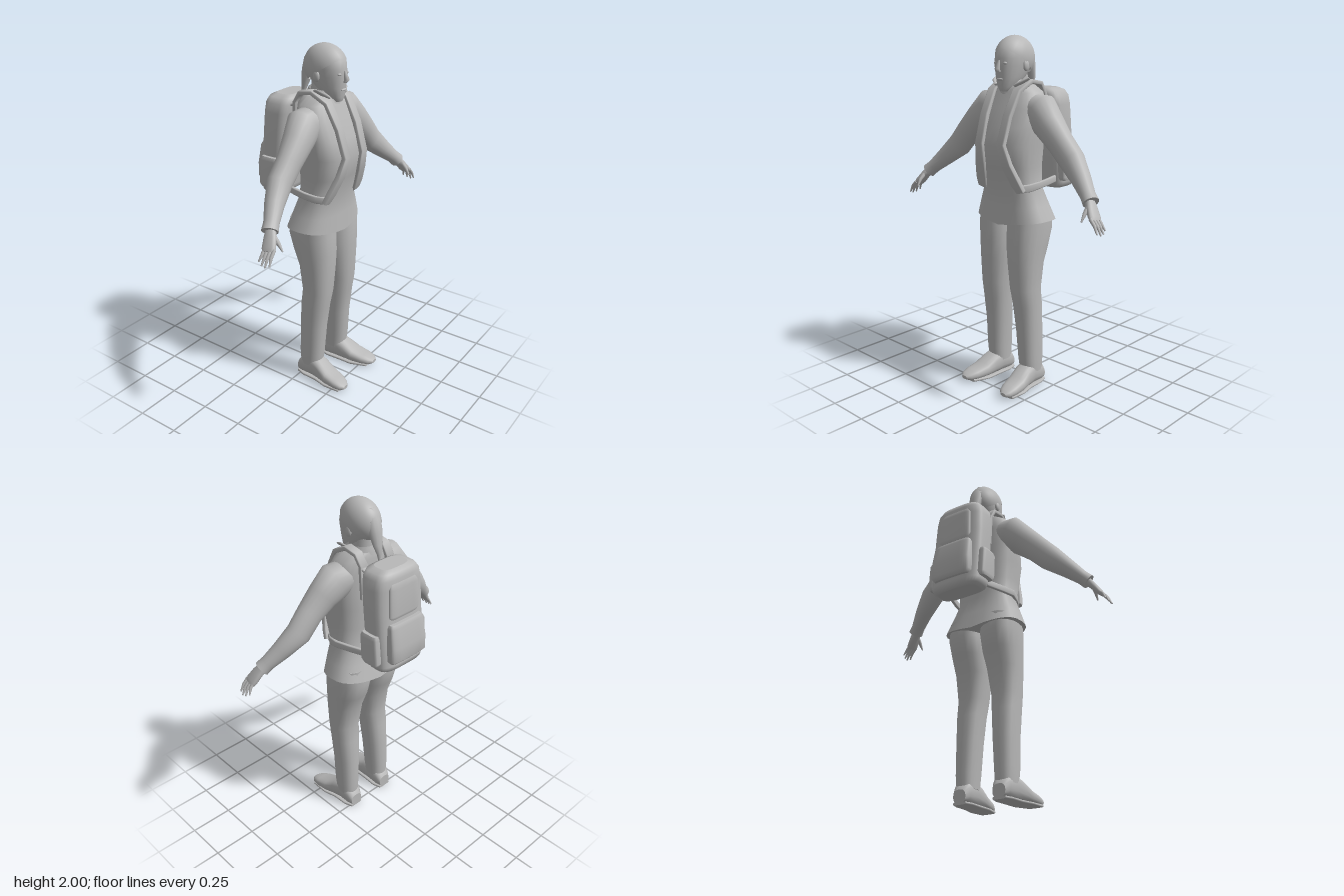
import * as THREE from 'three';

const clay = new THREE.MeshStandardMaterial({ color: 0xb8b8b8, side: THREE.DoubleSide });
clay.name = 'plain grey';

const X = new THREE.Vector3(1, 0, 0), Y = new THREE.Vector3(0, 1, 0), Z = new THREE.Vector3(0, 0, 1);

// Skin over superellipse sections [x, y, z, halfU, halfV]; halfV lies along ref,
// s mirrors in x, dir fixes the section normal, n is the squareness.
function loft(name, sections, { ref = Z, dir = null, n = 2, s = 1, sides = 20, caps = true } = {}) {
  const centres = sections.map(p => new THREE.Vector3(p[0] * s, p[1], p[2]));
  const pos = [], idx = [], last = sections.length - 1;
  const power = c => Math.sign(c) * Math.abs(c) ** (2 / n);
  const rings = sections.map((p, i) => {
    const t = dir ? dir.clone() : centres[Math.min(i + 1, last)].clone().sub(centres[Math.max(i - 1, 0)]).normalize();
    const v = ref.clone().addScaledVector(t, -ref.dot(t)).normalize();
    const u = new THREE.Vector3().crossVectors(v, t);
    return Array.from({ length: sides }, (_, j) => {
      const a = (j / sides) * Math.PI * 2;
      return centres[i].clone().addScaledVector(u, power(Math.cos(a)) * p[3]).addScaledVector(v, power(Math.sin(a)) * p[4]);
    });
  });
  rings.forEach(r => r.forEach(p => pos.push(p.x, p.y, p.z)));
  for (let i = 0; i < last; i++) for (let j = 0; j < sides; j++) {
    const k = (j + 1) % sides, a = i * sides, b = a + sides;
    idx.push(a + j, a + k, b + k, a + j, b + k, b + j);
  }
  if (caps) for (const end of [0, last]) {
    const base = pos.length / 3;
    [centres[end], ...rings[end]].forEach(p => pos.push(p.x, p.y, p.z));
    for (let j = 0; j < sides; j++) {
      const a = base + 1 + j, b = base + 1 + (j + 1) % sides;
      idx.push(base, ...(end ? [a, b] : [b, a]));
    }
  }
  const g = new THREE.BufferGeometry();
  g.setAttribute('position', new THREE.Float32BufferAttribute(pos, 3));
  g.setIndex(idx);
  g.computeVertexNormals();
  const mesh = new THREE.Mesh(g, clay);
  mesh.name = name;
  return mesh;
}

// Upright skin from rows [y, halfWidth, backZ, frontZ]
const stack = (name, rows, opt = {}) =>
  loft(name, rows.map(([y, w, b, f]) => [0, y, (b + f) / 2, w, (f - b) / 2]), { dir: Y, ...opt });

function ball(name, [x, y, z], [a, b, c]) {
  const mesh = new THREE.Mesh(new THREE.SphereGeometry(1, 14, 10), clay);
  mesh.position.set(x, y, z);
  mesh.scale.set(a, b, c);
  mesh.name = name;
  return mesh;
}

export function createModel() {
  const model = new THREE.Group();
  model.name = 'hiker';

  // Jacket with a flared, slightly dipped hem
  const jacket = stack('jacket', [
    [0.99, 0.245, -0.1, 0.2], [1.08, 0.215, -0.07, 0.195], [1.18, 0.175, -0.04, 0.19],
    [1.3, 0.18, -0.04, 0.225], [1.42, 0.19, -0.05, 0.25], [1.52, 0.2, -0.05, 0.222],
    [1.62, 0.2, -0.05, 0.18], [1.7, 0.165, -0.05, 0.145], [1.735, 0.1, -0.04, 0.13],
  ], { n: 2.6, sides: 28 });
  const jp = jacket.geometry.attributes.position;
  for (let i = 0; i < jp.count; i++) if (jp.getY(i) < 1) jp.setY(i, 0.97 + Math.abs(jp.getX(i)) * 0.13);
  jacket.geometry.computeVertexNormals();
  model.add(jacket);
  model.add(stack('collar', [[1.69, 0.11, -0.05, 0.15], [1.735, 0.085, -0.045, 0.145], [1.765, 0.075, -0.035, 0.12]], { caps: false }));

  // Head
  const head = new THREE.Group();
  head.name = 'head';
  model.add(head);
  head.add(stack('neck', [[1.68, 0.06, -0.02, 0.1], [1.8, 0.055, -0.02, 0.1]]));
  head.add(stack('face', [
    [1.705, 0.026, 0.11, 0.165], [1.73, 0.048, 0.06, 0.175], [1.78, 0.068, 0, 0.18],
    [1.84, 0.08, -0.04, 0.186], [1.88, 0.084, -0.05, 0.182], [1.92, 0.082, -0.045, 0.177],
    [1.96, 0.066, -0.02, 0.145], [1.985, 0.04, 0.02, 0.1],
  ], { n: 2.2 }));
  const cap = new THREE.SphereGeometry(1, 24, 14, 0, Math.PI * 2, 0, Math.PI * 0.55);
  cap.rotateX(-0.6).scale(0.093, 0.12, 0.127).translate(0, 1.88, 0.06);
  const hair = new THREE.Mesh(cap, clay);
  hair.name = 'hair';
  head.add(hair);
  head.add(loft('ponytail', [
    [0, 1.95, 0, 0.035, 0.03], [0, 1.9, -0.035, 0.035, 0.045], [0, 1.84, -0.055, 0.03, 0.04],
    [0, 1.78, -0.07, 0.02, 0.03], [0, 1.73, -0.083, 0.012, 0.015], [0, 1.69, -0.08, 0.003, 0.003],
  ], { ref: X, sides: 12 }));
  head.add(loft('nose', [[0, 1.87, 0.18, 0.008, 0.008], [0, 1.825, 0.196, 0.014, 0.015], [0, 1.808, 0.185, 0.012, 0.01]], { dir: Y.clone().negate(), sides: 8 }));
  head.add(ball('mouth', [0, 1.77, 0.178], [0.024, 0.007, 0.008]));

  // Paired parts
  for (const s of [1, -1]) {
    const side = s > 0 ? 'left' : 'right';
    head.add(ball(side + 'Eye', [s * 0.033, 1.855, 0.171], [0.014, 0.008, 0.01]));
    head.add(ball(side + 'Ear', [s * 0.084, 1.84, 0.06], [0.012, 0.03, 0.02]));

    model.add(loft(side + 'CollarWing', [
      [0.06, 1.73, 0.1, 0.008, 0.05], [0.09, 1.75, 0.09, 0.008, 0.045], [0.115, 1.775, 0.07, 0.004, 0.015],
    ], { s, n: 3, sides: 8 }));

    // Sleeve and cuff
    model.add(loft(side + 'Sleeve', [
      [0.1, 1.615, 0.05, 0.08, 0.08], [0.19, 1.595, 0.055, 0.108, 0.092], [0.265, 1.53, 0.07, 0.088, 0.08],
      [0.35, 1.45, 0.08, 0.076, 0.066], [0.43, 1.365, 0.08, 0.073, 0.064], [0.52, 1.285, 0.115, 0.054, 0.052],
      [0.59, 1.22, 0.15, 0.04, 0.042], [0.622, 1.19, 0.165, 0.042, 0.045],
    ], { s }));

    // Hand
    const hand = new THREE.Group();
    hand.name = side + 'Hand';
    hand.add(loft('palm', [
      [0.61, 1.2, 0.163, 0.024, 0.026], [0.64, 1.165, 0.18, 0.02, 0.035],
      [0.67, 1.125, 0.195, 0.017, 0.04], [0.682, 1.11, 0.2, 0.012, 0.036],
    ], { s, n: 2.5, sides: 12 }));
    for (let i = 0; i < 4; i++) {
      const z = 0.172 + i * 0.019, reach = [0.8, 0.95, 1, 0.88][i];
      hand.add(loft('finger', [
        [0.67, 1.125, z, 0.01, 0.01], [0.67 + 0.034 * reach, 1.125 - 0.035 * reach, z + 0.003, 0.009, 0.009],
        [0.67 + 0.057 * reach, 1.125 - 0.08 * reach, z + (i - 1.5) * 0.005, 0.004, 0.004],
      ], { s, sides: 8 }));
    }
    hand.add(loft('thumb', [
      [0.63, 1.18, 0.19, 0.014, 0.014], [0.632, 1.145, 0.225, 0.011, 0.011], [0.63, 1.105, 0.25, 0.004, 0.004],
    ], { s, ref: X, sides: 8 }));
    model.add(hand);

    // Trouser leg and shoe
    model.add(loft(side + 'Leg', [
      [0.125, 0.09, 0.06, 0.058, 0.066], [0.125, 0.17, 0.064, 0.063, 0.074], [0.12, 0.35, 0.07, 0.07, 0.078],
      [0.117, 0.5, 0.082, 0.078, 0.083], [0.112, 0.6, 0.095, 0.084, 0.086], [0.107, 0.75, 0.088, 0.098, 0.1],
      [0.105, 0.85, 0.07, 0.107, 0.122], [0.108, 0.95, 0.055, 0.112, 0.135], [0.108, 1.05, 0.055, 0.11, 0.125],
    ], { s, dir: Y, n: 2.3 }));
    model.add(loft(side + 'Shoe', [
      [0.125, 0.045, -0.02, 0.04, 0.037], [0.125, 0.068, 0.01, 0.056, 0.06], [0.127, 0.08, 0.08, 0.056, 0.072],
      [0.133, 0.068, 0.14, 0.06, 0.06], [0.142, 0.048, 0.2, 0.063, 0.04], [0.152, 0.038, 0.27, 0.056, 0.03],
      [0.158, 0.032, 0.31, 0.042, 0.022], [0.16, 0.03, 0.33, 0.02, 0.01],
    ], { s, ref: Y, dir: Z, n: 2.5 }));
    model.add(loft(side + 'Sole', [
      [0.125, 0.008, -0.02, 0.04, 0.008], [0.126, 0.008, 0.03, 0.056, 0.008], [0.13, 0.008, 0.12, 0.055, 0.008],
      [0.14, 0.008, 0.2, 0.064, 0.008], [0.155, 0.012, 0.3, 0.048, 0.008],
    ], { s, ref: Y, dir: Z, n: 5 }));

    // Shoulder strap, then the lower strap running back to the pack
    model.add(loft(side + 'ShoulderStrap', [
      [0.09, 1.5, -0.065, 0.01, 0.026], [0.095, 1.69, -0.06, 0.011, 0.028], [0.098, 1.745, -0.025, 0.012, 0.028],
      [0.098, 1.758, 0.05, 0.013, 0.028], [0.092, 1.71, 0.14, 0.013, 0.028], [0.086, 1.58, 0.207, 0.014, 0.027],
      [0.08, 1.43, 0.253, 0.015, 0.028], [0.1, 1.32, 0.228, 0.016, 0.034], [0.13, 1.22, 0.19, 0.016, 0.036],
      [0.146, 1.17, 0.168, 0.014, 0.03],
    ], { s, ref: X, n: 5, sides: 16 }));
    model.add(loft(side + 'LowerStrap', [
      [0.145, 1.185, 0.165, 0.01, 0.022], [0.172, 1.19, 0.12, 0.01, 0.022], [0.185, 1.2, 0.06, 0.01, 0.02],
      [0.165, 1.2, -0.02, 0.01, 0.02], [0.13, 1.2, -0.13, 0.01, 0.02],
    ], { s, ref: Y, n: 4, sides: 12 }));
    model.add(loft(side + 'TopLink', [
      [0.095, 1.68, -0.055, 0.008, 0.022], [0.09, 1.66, -0.11, 0.008, 0.022],
    ], { s, ref: X, n: 4, sides: 8 }));

    // Side pocket of the pack
    model.add(loft(side + 'PackPocket', [
      [0.165, 1.19, -0.2, 0.024, 0.05], [0.168, 1.21, -0.2, 0.028, 0.062],
      [0.168, 1.35, -0.19, 0.028, 0.06], [0.165, 1.37, -0.19, 0.022, 0.052],
    ], { s, dir: Y, n: 4 }));
  }

  // Backpack
  model.add(stack('backpack', [
    [1.14, 0.13, -0.27, -0.15], [1.15, 0.152, -0.29, -0.135], [1.18, 0.165, -0.297, -0.125],
    [1.35, 0.168, -0.282, -0.108], [1.5, 0.168, -0.27, -0.095], [1.62, 0.163, -0.263, -0.083],
    [1.67, 0.152, -0.26, -0.078], [1.7, 0.13, -0.247, -0.085], [1.713, 0.09, -0.22, -0.11],
  ], { n: 3.6, sides: 32 }));
  model.add(stack('packFrontPocket', [
    [1.2, 0.115, -0.31, -0.24], [1.22, 0.13, -0.328, -0.24], [1.3, 0.13, -0.326, -0.24],
    [1.41, 0.122, -0.306, -0.24], [1.43, 0.112, -0.295, -0.24],
  ], { n: 5, sides: 28 }));
  model.add(stack('packUpperPanel', [
    [1.45, 0.1, -0.275, -0.22], [1.47, 0.11, -0.283, -0.22], [1.62, 0.105, -0.274, -0.22], [1.65, 0.09, -0.262, -0.22],
  ], { n: 5, sides: 28 }));

  return model;
}
